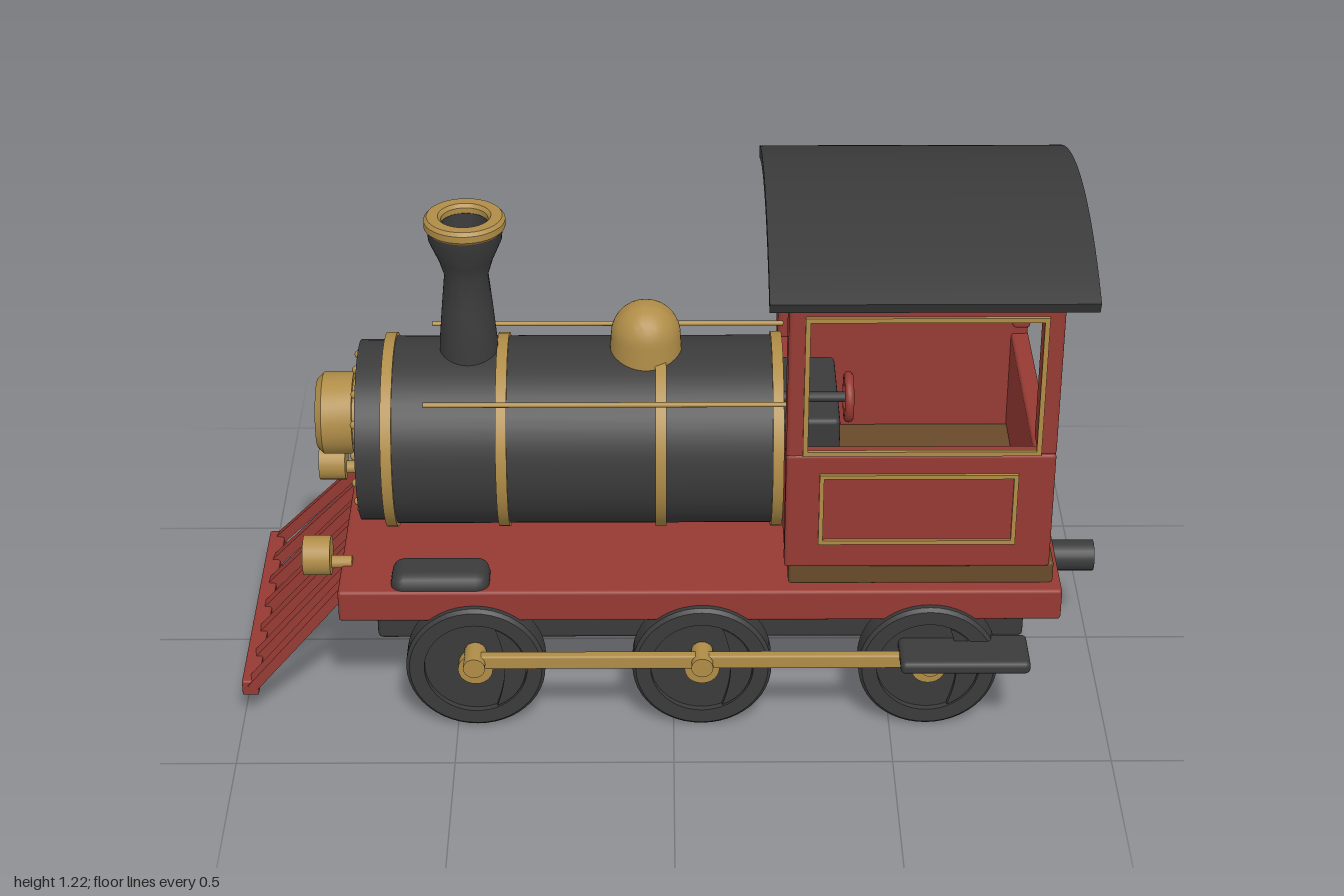
import * as THREE from 'three';
import { toCreasedNormals } from 'three/addons/utils/BufferGeometryUtils.js';
import { RoundedBoxGeometry } from 'three/addons/geometries/RoundedBoxGeometry.js';

const mat = (name, color) => {
  const m = new THREE.MeshStandardMaterial({ color });
  m.name = name;
  return m;
};

export function createModel() {
  const root = new THREE.Group();
  root.name = 'steamLocomotive';
  const black = mat('charcoal', 0x3b3b3b);
  const red = mat('brick red', 0x963a33);
  const gold = mat('brass', 0xb08d48);
  const brown = mat('dark wood', 0x694a2a);
  const grey = mat('steel grey', 0x87949a);

  const add = (name, geo, m, parent = root) => {
    const mesh = new THREE.Mesh(geo, m);
    mesh.name = name;
    parent.add(mesh);
    return mesh;
  };
  // Box given by its limits on each axis
  const box = (name, m, x0, x1, y0, y1, z0, z1, r = 0.008, parent = root) => {
    const s = [x1 - x0, y1 - y0, z1 - z0];
    const geo = r ? new RoundedBoxGeometry(...s, 2, Math.min(r, Math.min(...s) * 0.45)) : new THREE.BoxGeometry(...s);
    const mesh = add(name, geo, m, parent);
    mesh.position.set((x0 + x1) / 2, (y0 + y1) / 2, (z0 + z1) / 2);
    return mesh;
  };
  // Turned profile of [radius, height] points, kept crisp at its edges
  const turned = (pts, n = 40) => toCreasedNormals(
    new THREE.LatheGeometry(pts.map(p => new THREE.Vector2(...p)), n), 0.6);
  // Cylinder lying along x
  const rodX = (name, m, x0, x1, y, z, r, n = 24, parent = root) => {
    const mesh = add(name, new THREE.CylinderGeometry(r, r, x1 - x0, n).rotateZ(Math.PI / 2), m, parent);
    mesh.position.set((x0 + x1) / 2, y, z);
    return mesh;
  };
  const sides = [1, -1];

  // Chassis
  box('deck', red, -0.765, 0.885, 0.277, 0.357, -0.335, 0.335);
  box('underframe', black, -0.685, 0.81, 0.18, 0.275, -0.262, 0.262, 0.012);
  rodX('rearCoupler', black, 0.8, 0.845, 0.237, 0, 0.025);
  rodX('couplerBuffer', black, 0.845, 1.0, 0.237, 0, 0.037);

  // Wheels: tyre, web, spokes and counterweight
  const tyre = turned([[0.118, -0.035], [0.152, -0.035], [0.16, -0.027], [0.16, 0.027],
    [0.152, 0.035], [0.118, 0.035], [0.118, -0.035]], 48).rotateX(Math.PI / 2);
  const crescent = new THREE.Shape();
  crescent.absarc(0, 0, 0.115, -1.15, 1.15, false);
  crescent.quadraticCurveTo(0.085, 0, 0.115 * Math.cos(1.15), -0.115 * Math.sin(1.15));
  const weightGeo = new THREE.ExtrudeGeometry(crescent, { depth: 0.015, bevelEnabled: false, curveSegments: 20 });
  const makeWheel = () => {
    const g = new THREE.Group();
    g.name = 'wheel';
    add('tyre', tyre, black, g);
    add('wheelWeb', new THREE.CylinderGeometry(0.12, 0.12, 0.02, 40).rotateX(Math.PI / 2), black, g).position.z = 0.01;
    add('wheelInset', new THREE.CylinderGeometry(0.119, 0.119, 0.006, 40).rotateX(Math.PI / 2), grey, g).position.z = -0.004;
    for (let i = 0; i < 8; i++) {
      const spoke = add('spoke', new THREE.BoxGeometry(0.1, 0.028, 0.022).translate(0.07, 0, -0.016), black, g);
      spoke.rotation.z = i * Math.PI / 4;
    }
    add('counterweight', weightGeo, black, g).position.z = 0.018;
    return g;
  };
  const axles = [-0.455, 0.065, 0.585];
  for (const s of sides) {
    for (const x of axles) {
      const wheel = makeWheel();
      wheel.position.set(x, 0.16, s * 0.32);
      root.add(wheel);
      const hub = add('hub', new THREE.CylinderGeometry(0.04, 0.04, 0.08, 24).rotateX(Math.PI / 2), gold);
      hub.position.set(x, 0.165, s * 0.325);
      const pin = add('crankPin', new THREE.CylinderGeometry(0.025, 0.025, 0.07, 20).rotateX(Math.PI / 2), gold);
      pin.position.set(x, 0.2, s * 0.378);
    }
    box('couplingRod', gold, -0.47, 0.61, 0.185, 0.22, s * 0.383 - 0.012, s * 0.383 + 0.012, 0.005);
    box('cabStep', black, 0.515, 0.81, 0.2, 0.232, s * 0.383 - 0.062, s * 0.383 + 0.062, 0.012);
    box('steamChest', black, -0.645, -0.42, 0.3, 0.39, s * 0.275 - 0.055, s * 0.275 + 0.055, 0.03);
  }

  // Cowcatcher
  box('cowcatcherBar', red, -1.0, -0.962, 0.065, 0.105, -0.325, 0.325, 0.005);
  for (let i = -3; i <= 3; i++) {
    const a = new THREE.Vector3(-0.98, 0.085, i * 0.104);
    const b = new THREE.Vector3(-0.75, 0.335, i * 0.088);
    const slat = add('cowcatcherSlat', new THREE.BoxGeometry(0.03, 0.025, a.distanceTo(b)), red);
    slat.position.copy(a).add(b).multiplyScalar(0.5);
    slat.lookAt(b);
  }
  for (const s of sides) {
    rodX('bufferLamp', gold, -0.85, -0.787, 0.378, s * 0.21, 0.046);
    rodX('lampBracket', gold, -0.79, -0.74, 0.36, s * 0.21, 0.015, 12);
  }

  // Boiler
  const by = 0.59;
  rodX('boiler', black, -0.66, 0.25, by, 0, 0.218, 56);
  rodX('smokebox', black, -0.722, -0.65, by, 0, 0.21, 56);
  for (const x of [-0.65, -0.39, -0.028, 0.238])
    rodX('boilerBand', gold, x - 0.0125, x + 0.0125, by, 0, 0.226, 56);
  for (let i = 0; i < 16; i++) {
    const t = (i + 0.5) / 16 * Math.PI * 2;
    add('rivet', new THREE.SphereGeometry(0.01, 10, 8), gold)
      .position.set(-0.724, by + Math.cos(t) * 0.183, Math.sin(t) * 0.183);
  }
  const lamp = add('headlamp', turned([[0.08, 0], [0.08, 0.015], [0.095, 0.015], [0.095, 0.085], [0.08, 0.1],
    [0.066, 0.1], [0.06, 0.085], [0.045, 0.085], [0.03, 0.1], [0, 0.105]]).rotateZ(Math.PI / 2), gold);
  lamp.position.set(-0.722, 0.635, 0);
  for (const s of sides) {
    rodX('handrail', gold, -0.563, 0.26, 0.765, s * 0.19, 0.006, 10);
  }

  // Chimney and steam dome
  const stack = new THREE.Group();
  stack.name = 'chimney';
  stack.position.set(-0.467, 0, 0);
  root.add(stack);
  add('chimneyBody', turned([[0.068, 0.78], [0.066, 0.83], [0.058, 0.92], [0.05, 1.0], [0.062, 1.04], [0.083, 1.09],
    [0.086, 1.125], [0.052, 1.125], [0.045, 1.03], [0, 1.03]]), black, stack);
  add('chimneyRim', turned([[0.053, 1.115], [0.086, 1.115], [0.092, 1.122], [0.092, 1.138], [0.085, 1.146],
    [0.06, 1.146], [0.053, 1.138], [0.053, 1.115]]), gold, stack);
  const domePts = [[0.084, 0.77], [0.08, 0.842]];
  for (let i = 1; i <= 10; i++) {
    const t = i / 10 * Math.PI / 2;
    domePts.push([i === 10 ? 0 : 0.08 * Math.cos(t), 0.842 + 0.08 * Math.sin(t)]);
  }
  add('steamDome', turned(domePts), gold).position.x = -0.062;

  // Cab
  box('cabSill', brown, 0.26, 0.862, 0.37, 0.428, -0.325, 0.325);
  box('rearWall', red, 0.81, 0.852, 0.425, 0.68, -0.305, 0.305);
  box('frontWall', red, 0.252, 0.29, 0.425, 0.675, -0.3, 0.3);
  for (const [x0, x1] of [[0.25, 0.294], [0.808, 0.85]])
    box('cabCrossBeam', red, x0, x1, 1.056, 1.116, -0.325, 0.325);
  // Thin brass outline on a cab side
  const outline = (name, s, x0, x1, y0, y1, w, z) => {
    const shape = new THREE.Shape([[x0, y0], [x1, y0], [x1, y1], [x0, y1]].map(p => new THREE.Vector2(...p)));
    shape.holes.push(new THREE.Path([[x0 + w, y0 + w], [x0 + w, y1 - w], [x1 - w, y1 - w], [x1 - w, y0 + w]]
      .map(p => new THREE.Vector2(...p))));
    add(name, new THREE.ExtrudeGeometry(shape, { depth: 0.009, bevelEnabled: false }), gold).position.z = s * z - 0.0045;
  };
  for (const s of sides) {
    const zr = (a, b) => s > 0 ? [a, b] : [-b, -a];
    box('cabSidePanel', red, 0.25, 0.85, 0.422, 0.718, ...zr(0.29, 0.335));
    box('cabSideBeam', red, 0.25, 0.85, 1.06, 1.116, ...zr(0.29, 0.332));
    box('frontPost', red, 0.25, 0.294, 0.69, 1.11, ...zr(0.25, 0.332));
    box('rearPost', red, 0.808, 0.85, 0.715, 1.11, ...zr(0.25, 0.332));
    outline('panelTrim', s, 0.325, 0.768, 0.488, 0.67, 0.01, 0.338);
    outline('windowTrim', s, 0.286, 0.815, 0.718, 1.066, 0.011, 0.335);
  }

  // Backhead and handwheel
  box('backhead', black, 0.24, 0.38, 0.425, 0.7, -0.15, 0.15, 0.012);
  add('handwheel', new THREE.TorusGeometry(0.048, 0.011, 10, 28).rotateY(Math.PI / 2), red).position.set(0.4, 0.725, 0.087);
  rodX('handwheelStem', black, 0.25, 0.405, 0.725, 0.087, 0.012, 12);
  for (let i = 0; i < 3; i++) {
    const bar = add('handwheelSpoke', new THREE.BoxGeometry(0.008, 0.095, 0.01), red);
    bar.position.set(0.4, 0.725, 0.087);
    bar.rotation.x = i * Math.PI / 3;
  }

  // Arched roof
  const R = 0.937, half = Math.asin(0.392 / R), cy = 1.215 - R;
  const arch = new THREE.Shape();
  arch.absarc(0, cy, R, Math.PI / 2 - half, Math.PI / 2 + half, false);
  arch.absarc(0, cy, R - 0.029, Math.PI / 2 + half, Math.PI / 2 - half, true);
  const roof = new THREE.ExtrudeGeometry(arch, { depth: 0.71, bevelEnabled: false, curveSegments: 28 });
  add('roof', toCreasedNormals(roof.rotateY(-Math.PI / 2), 0.6), black).position.x = 0.915;

  return root;
}
